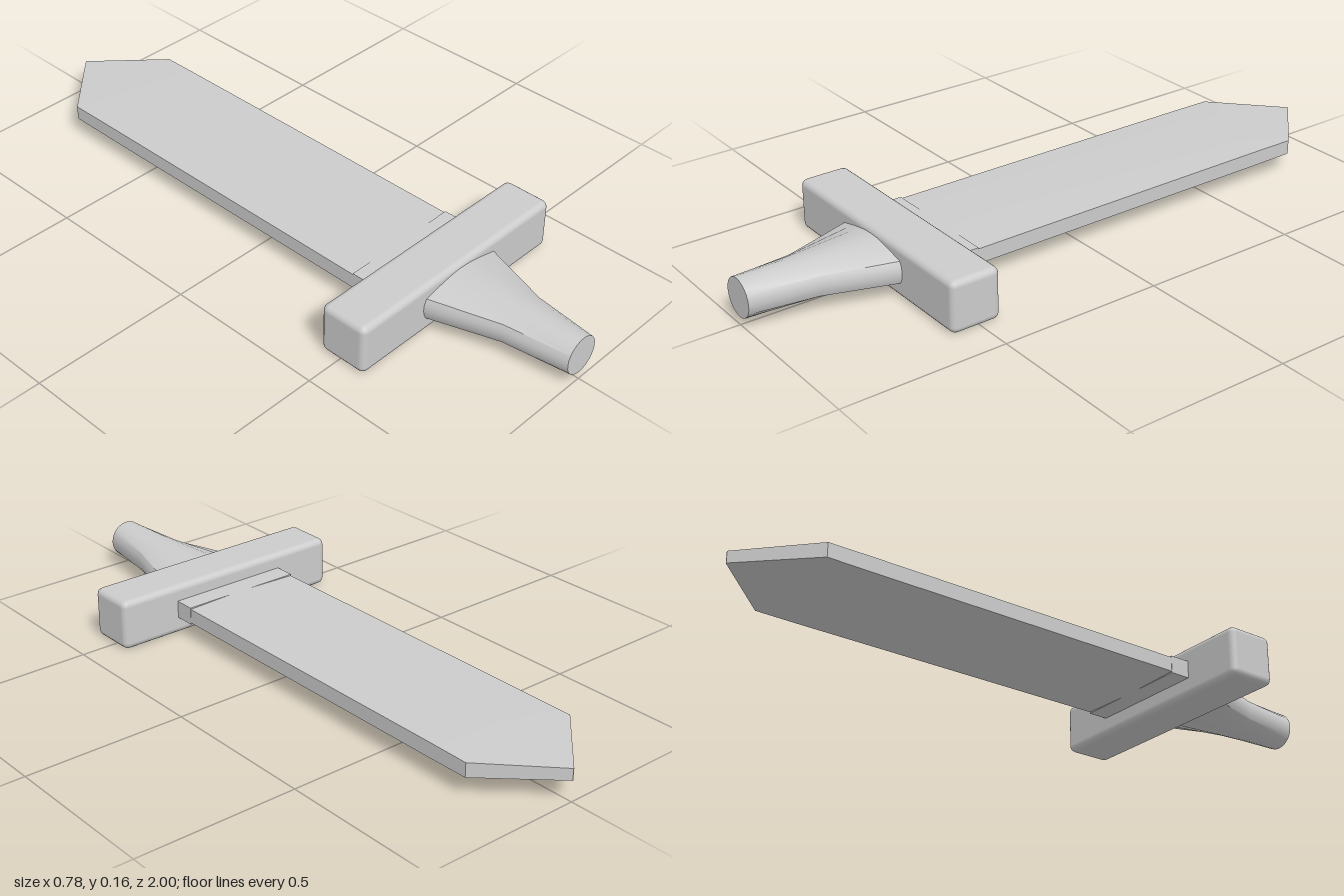
import * as THREE from 'three';
import { RoundedBoxGeometry } from 'three/addons/geometries/RoundedBoxGeometry.js';
import { toCreasedNormals } from 'three/addons/utils/BufferGeometryUtils.js';

const MID_Y = 0.081;

// Skins a row of equal-count loops, ordered from +z to -z, and caps both ends.
function loft(sections, crease) {
  const pos = [];
  const tri = (a, b, c) => pos.push(...a, ...b, ...c);
  const n = sections[0].length;
  const last = sections[sections.length - 1];
  for (let j = 0; j < n; j++) {
    const k = (j + 1) % n;
    for (let i = 0; i < sections.length - 1; i++) {
      const s = sections[i], e = sections[i + 1];
      tri(s[j], e[j], s[k]);
      tri(s[k], e[j], e[k]);
    }
    tri([0, 0, sections[0][0][2]], sections[0][j], sections[0][k]);
    tri([0, 0, last[0][2]], last[k], last[j]);
  }
  const geometry = new THREE.BufferGeometry();
  geometry.setAttribute('position', new THREE.Float32BufferAttribute(pos, 3));
  return toCreasedNormals(geometry, crease);
}

// Mirrors a quarter outline (from the +x axis to the +y axis) into a full loop.
function fullLoop(quarter, z) {
  const half = [...quarter, ...quarter.slice(0, -1).reverse().map(([x, y]) => [-x, y])];
  const lower = half.slice(1, -1).map(([x, y]) => [-x, -y]);
  return [...half, ...lower].map(([x, y]) => [x, y, z]);
}

// Blade section: half width, half thickness at the edge and at the centre ridge.
const bladeSection = (z, w, edge, ridge) => {
  const h = [[w, edge], [0, ridge], [-w, edge]];
  return [...h, ...h.map(([x, y]) => [-x, -y])].map(([x, y]) => [x, y, z]);
};

export function createModel() {
  const group = new THREE.Group();
  const material = new THREE.MeshStandardMaterial({ color: 0xcccccc });
  const add = (name, geometry, y, z = 0) => {
    const mesh = new THREE.Mesh(geometry, material);
    mesh.name = name;
    mesh.position.set(0, y, z);
    group.add(mesh);
  };

  // Crossguard with softened edges
  add('crossguard', new RoundedBoxGeometry(0.78, 0.157, 0.155, 2, 0.02), 0.0785, 0.5125);

  // Grip: flared at the guard, round at the pommel end
  const flare = [[0.155, 0], [0.153, 0.017], [0.145, 0.034], [0.1, 0.045],
    [0.06, 0.053], [0.03, 0.057], [0, 0.058]];
  const gripSection = (z, t) => fullLoop(flare.map(([x, y], i) => {
    const a = (i / (flare.length - 1)) * Math.PI / 2;
    return [
      THREE.MathUtils.lerp(0.058 * Math.cos(a), x, t),
      THREE.MathUtils.lerp(0.058 * Math.sin(a), y, t),
    ];
  }), z);
  add('grip', loft([gripSection(1, 0), gripSection(0.8, 0.28), gripSection(0.58, 1)], 0.5), MID_Y + 0.001);

  // Flat collar where the blade leaves the guard
  add('bladeCollar', new THREE.BoxGeometry(0.39, 0.055, 0.08), MID_Y, 0.41);

  // Blade with a faint centre ridge and a pointed, thinning tip
  add('blade', loft([
    bladeSection(0.43, 0.194, 0.023, 0.0285),
    bladeSection(-0.68, 0.194, 0.023, 0.0285),
    bladeSection(-0.81, 0.194, 0.022, 0.026),
    bladeSection(-1, 0.001, 0.018, 0.018),
  ], 0.3), MID_Y);

  return group;
}
